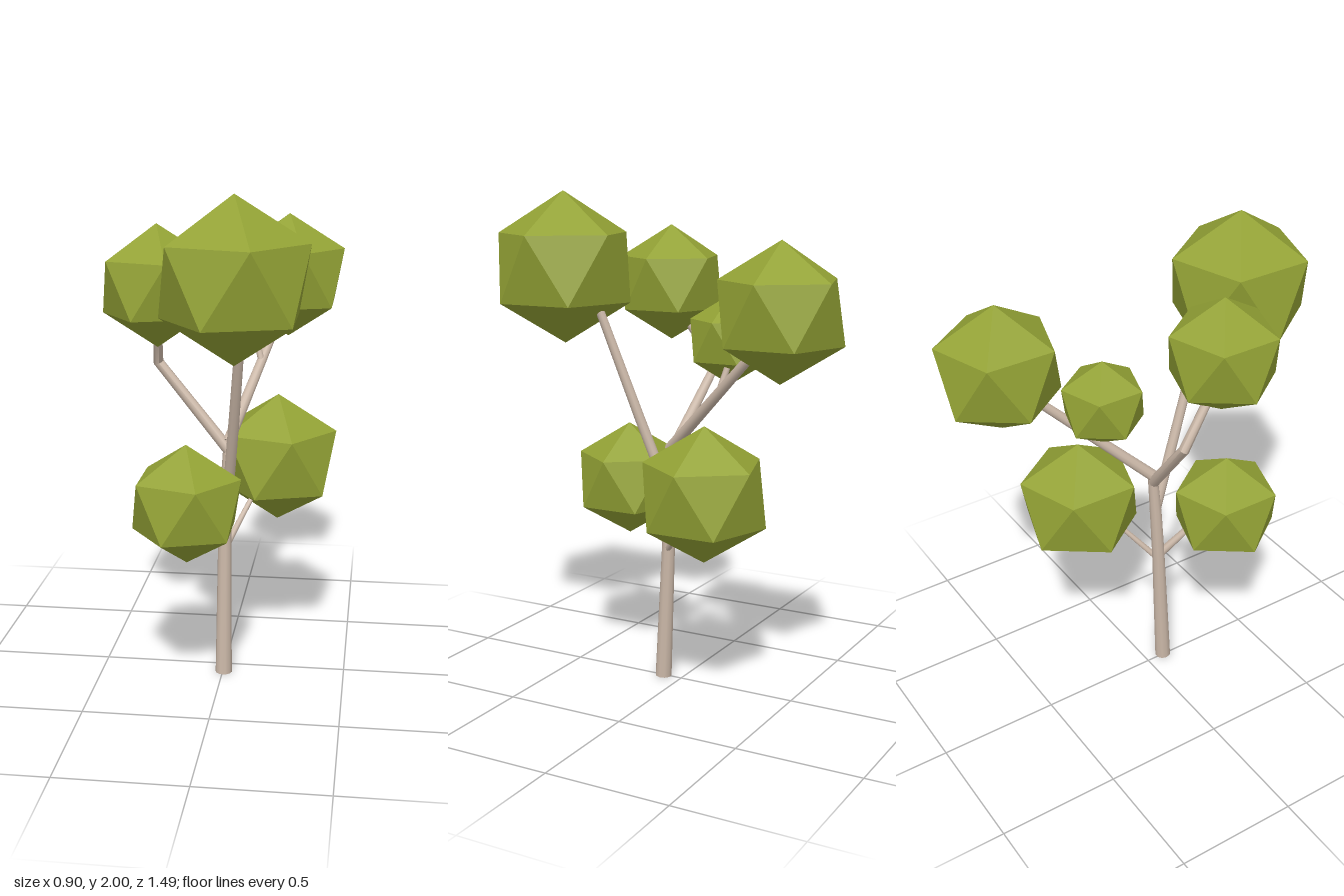
import * as THREE from 'three';
import { toCreasedNormals } from 'three/addons/utils/BufferGeometryUtils.js';

const SIDES = 10;

// Tapered limb swept along a polyline; each point is [x, y, z, radius]
function limbGeometry(points) {
  const pts = points.map(p => new THREE.Vector3(p[0], p[1], p[2]));
  const pos = [], idx = [];
  const last = pts.length - 1;
  pts.forEach((p, i) => {
    // mitre direction: average of the neighbouring segments
    const dir = new THREE.Vector3();
    if (i > 0) dir.add(p.clone().sub(pts[i - 1]).normalize());
    if (i < last) dir.add(pts[i + 1].clone().sub(p).normalize());
    dir.normalize();
    const u = new THREE.Vector3(1, 0, 0).addScaledVector(dir, -dir.x).normalize();
    const v = new THREE.Vector3().crossVectors(dir, u);
    for (let s = 0; s < SIDES; s++) {
      const a = (s / SIDES) * Math.PI * 2, r = points[i][3];
      const q = p.clone().addScaledVector(u, Math.cos(a) * r).addScaledVector(v, Math.sin(a) * r);
      pos.push(q.x, q.y, q.z);
    }
  });
  const start = pos.length / 3, end = start + 1;
  pos.push(...pts[0].toArray(), ...pts[last].toArray());
  for (let s = 0; s < SIDES; s++) {
    const t = (s + 1) % SIDES;
    for (let i = 0; i < last; i++) {
      const a = i * SIDES + s, b = i * SIDES + t;
      idx.push(a, b, b + SIDES, a, b + SIDES, a + SIDES);
    }
    idx.push(start, t, s, end, last * SIDES + s, last * SIDES + t);
  }
  const geo = new THREE.BufferGeometry();
  geo.setAttribute('position', new THREE.Float32BufferAttribute(pos, 3));
  geo.setIndex(idx);
  return toCreasedNormals(geo, 0.9);
}

export function createModel() {
  const tree = new THREE.Group();
  tree.name = 'tree';

  const bark = new THREE.MeshStandardMaterial({ color: 0xcbb8a8 });
  bark.name = 'bark';
  const leaf = new THREE.MeshStandardMaterial({ color: 0x93a235 });
  leaf.name = 'leaf green';

  // Trunk, main branches and twigs
  const limbs = {
    trunk: [[0.005, 0, 0.081, 0.034], [0.006, 0.58, 0.055, 0.027], [0.012, 0.8, 0.045, 0.025], [0.02, 1.0, 0.033, 0.02]],
    frontBranch: [[0.02, 0.79, 0.045, 0.022], [0.055, 1.1, 0.16, 0.021], [0.1, 1.53, 0.315, 0.018]],
    leftBranch: [[0.02, 0.95, 0.04, 0.024], [-0.27, 1.29, -0.017, 0.021], [-0.252, 1.46, 0.1, 0.018]],
    backBranch: [[0.018, 0.98, 0.04, 0.024], [0.185, 1.42, -0.41, 0.018]],
    backTwig: [[0.125, 1.25, -0.235, 0.014], [0.1, 1.34, -0.255, 0.012]],
    lowBackTwig: [[0.02, 0.56, 0.05, 0.013], [0.105, 0.72, -0.075, 0.01]],
    lowFrontTwig: [[0.005, 0.58, 0.065, 0.018], [-0.045, 0.7, 0.17, 0.014]],
  };
  for (const [name, points] of Object.entries(limbs)) {
    const mesh = new THREE.Mesh(limbGeometry(points), bark);
    mesh.name = name;
    tree.add(mesh);
  }

  // Leaf clumps: faceted balls with one corner pointing straight up
  const ball = new THREE.IcosahedronGeometry(1, 0);
  ball.rotateZ(-Math.atan(2 / (1 + Math.sqrt(5))));
  const clumps = {
    frontClump: [0.092, 1.695, 0.486, 0.305],
    leftClump: [-0.238, 1.625, 0.174, 0.236],
    backClump: [0.212, 1.573, -0.526, 0.262],
    smallBackClump: [-0.012, 1.433, -0.212, 0.177],
    lowBackClump: [0.198, 0.855, -0.208, 0.27],
    lowFrontClump: [-0.112, 0.803, 0.308, 0.238],
  };
  for (const [name, [x, y, z, r]] of Object.entries(clumps)) {
    const mesh = new THREE.Mesh(ball, leaf);
    mesh.name = name;
    mesh.position.set(x, y, z);
    mesh.scale.setScalar(r);
    tree.add(mesh);
  }
  return tree;
}
